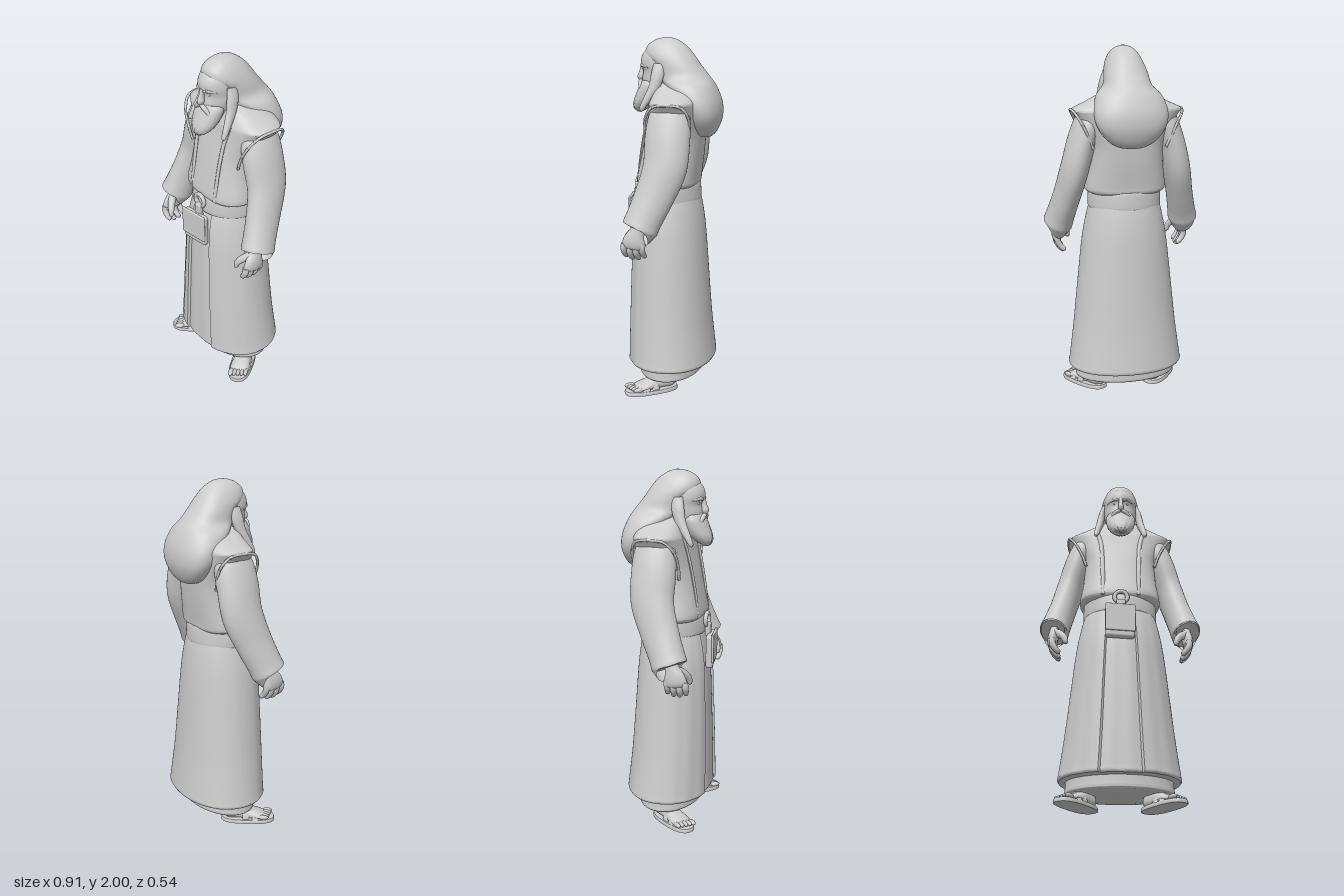
import * as THREE from 'three';
import { toCreasedNormals } from 'three/addons/utils/BufferGeometryUtils.js';
import { RoundedBoxGeometry } from 'three/addons/geometries/RoundedBoxGeometry.js';

const stone = new THREE.MeshStandardMaterial({ color: 0xcccccc });
stone.name = 'pale grey';

// Smooth skin through rings [x, y, z, rSide, rFront, rBack]; radii lie across the path.
function loft(rings, { n = 24, sub = 5, power = 2, flat = false, mod = null, crease = 0.9 } = {}) {
  const centres = new THREE.CatmullRomCurve3(rings.map(r => new THREE.Vector3(r[0], r[1], r[2])), false, 'catmullrom');
  const radii = new THREE.CatmullRomCurve3(rings.map(r => new THREE.Vector3(r[3], r[4] ?? r[3], r[5] ?? r[4] ?? r[3])), false, 'catmullrom');
  const m = (rings.length - 1) * sub, pos = [], idx = [];
  const shape = v => Math.sign(v) * Math.pow(Math.abs(v), 2 / power);
  for (let i = 0; i <= m; i++) {
    const t = i / m, c = centres.getPoint(t), r = radii.getPoint(t);
    const T = flat ? new THREE.Vector3(0, -1, 0) : centres.getTangent(t);
    const u = new THREE.Vector3(1, 0, 0).addScaledVector(T, -T.x).normalize();
    const v = T.clone().cross(u);
    for (let j = 0; j < n; j++) {
      const a = j / n * Math.PI * 2, sv = shape(Math.sin(a));
      const p = c.clone().addScaledVector(u, shape(Math.cos(a)) * Math.max(r.x, 0.001))
        .addScaledVector(v, sv * Math.max(sv > 0 ? r.y : r.z, 0.001));
      if (mod) mod(p, a, t);
      pos.push(p.x, p.y, p.z);
    }
  }
  for (let i = 0; i < m; i++) for (let j = 0; j < n; j++) {
    const a = i * n + j, b = i * n + (j + 1) % n;
    idx.push(a, b, a + n, b, b + n, a + n);
  }
  for (const [i, end] of [[0, false], [m, true]]) {
    const k = pos.length / 3, c = centres.getPoint(i / m);
    pos.push(c.x, c.y, c.z);
    for (let j = 0; j < n; j++) {
      const a = i * n + j, b = i * n + (j + 1) % n;
      idx.push(k, end ? a : b, end ? b : a);
    }
  }
  const g = new THREE.BufferGeometry();
  g.setAttribute('position', new THREE.Float32BufferAttribute(pos, 3));
  g.setIndex(idx);
  return toCreasedNormals(g, crease);
}

// Level body rings [y, halfWidth, zFront, zBack], listed from the top down.
const body = (rows, opt) => loft(rows.map(([y, w, f, b]) => [0, y, (f + b) / 2, w, (f - b) / 2]), { flat: true, n: 64, ...opt });

export function createModel() {
  const model = new THREE.Group();
  const add = (name, geometry, x = 0, y = 0, z = 0) => {
    const mesh = new THREE.Mesh(geometry, stone);
    mesh.name = name;
    mesh.position.set(x, y, z);
    model.add(mesh);
    return mesh;
  };

  // Robe: folded skirt with a recessed centre panel, and an under-robe
  add('skirt', body([
    [1.13, 0.2, 0.188, -0.15], [1.04, 0.222, 0.213, -0.168], [0.9, 0.247, 0.233, -0.185], [0.65, 0.275, 0.243, -0.203],
    [0.4, 0.302, 0.25, -0.222], [0.19, 0.33, 0.254, -0.245], [0.165, 0.335, 0.255, -0.247], [0.15, 0.327, 0.248, -0.24],
  ], {
    n: 160, power: 2.1, mod: (p, a, t) => {
      const front = Math.max(0, Math.sin(a)), fold = 1 + 0.02 * front * t * (1 - t * 0.8) * Math.cos(a * 18);
      p.x *= fold;
      p.z *= fold;
      if (p.z > 0 && Math.abs(Math.cos(a)) < 0.34) p.z -= 0.014;
    },
  }));
  add('underRobe', body([[0.2, 0.29, 0.19, -0.18], [0.12, 0.292, 0.19, -0.178], [0.09, 0.295, 0.19, -0.178], [0.08, 0.285, 0.182, -0.172]]));
  add('belt', body([[1.2, 0.2, 0.185, -0.145], [1.19, 0.208, 0.195, -0.152], [1.11, 0.21, 0.2, -0.157], [1.1, 0.203, 0.19, -0.15]]));

  // Vest with wide shoulders that taper to the armholes
  add('vest', body([
    [1.765, 0.07, 0.08, -0.09], [1.725, 0.175, 0.09, -0.14], [1.695, 0.235, 0.097, -0.16], [1.665, 0.3, 0.105, -0.17],
    [1.652, 0.31, 0.11, -0.174], [1.635, 0.298, 0.114, -0.176], [1.57, 0.258, 0.125, -0.178], [1.47, 0.213, 0.147, -0.175],
    [1.35, 0.213, 0.17, -0.165], [1.23, 0.23, 0.193, -0.15], [1.2, 0.226, 0.19, -0.147], [1.185, 0.2, 0.175, -0.135],
  ], { n: 80, power: 2.7 }));

  // Head, face and hair
  add('head', body([
    [1.955, 0.05, 0.13, -0.02], [1.91, 0.085, 0.174, -0.04], [1.86, 0.095, 0.187, -0.04], [1.815, 0.095, 0.172, -0.04],
    [1.76, 0.09, 0.178, -0.04], [1.69, 0.07, 0.15, -0.04], [1.62, 0.07, 0.1, -0.06],
  ], { n: 40 }));
  add('nose', loft([[0, 1.85, 0.176, 0.012], [0, 1.81, 0.181, 0.013, 0.018], [0, 1.78, 0.187, 0.018, 0.022], [0, 1.762, 0.18, 0.008]], { n: 14 }));
  add('beard', body([
    [1.765, 0.075, 0.178, 0.06], [1.735, 0.087, 0.194, 0.06], [1.69, 0.083, 0.214, 0.075], [1.645, 0.07, 0.23, 0.105],
    [1.61, 0.045, 0.23, 0.145], [1.587, 0.01, 0.208, 0.185],
  ], { n: 48, mod: (p, a, t) => { if (p.z > 0.1) p.z += 0.003 * t * Math.cos(a * 16); } }));
  add('hair', body([
    [2, 0.012, 0.055, 0.02], [1.985, 0.05, 0.105, -0.025], [1.95, 0.083, 0.15, -0.075], [1.9, 0.107, 0.155, -0.118],
    [1.85, 0.12, 0.108, -0.152], [1.79, 0.134, 0.08, -0.2], [1.735, 0.182, 0.035, -0.236], [1.65, 0.205, -0.03, -0.268],
    [1.57, 0.188, -0.08, -0.272], [1.5, 0.135, -0.11, -0.25], [1.465, 0.075, -0.14, -0.223], [1.455, 0.015, -0.17, -0.2],
  ], { n: 64, power: 2.3 }));

  // Buckle and belt pouch
  add('buckle', new THREE.TorusGeometry(0.036, 0.012, 10, 28), 0, 1.172, 0.207);
  add('pouchLoop', new RoundedBoxGeometry(0.05, 0.075, 0.03, 2, 0.01), 0, 1.115, 0.215);
  const pouch = add('pouch', new RoundedBoxGeometry(0.165, 0.19, 0.04, 3, 0.016), -0.007, 1.002, 0.232);
  const flap = add('pouchFlap', new RoundedBoxGeometry(0.17, 0.165, 0.014, 2, 0.006), -0.004, 1.024, 0.252);
  pouch.rotation.y = flap.rotation.y = 0.13;

  for (const s of [1, -1]) {
    const side = s > 0 ? 'left' : 'right';
    const limb = (name, rings, opt) => add(side + name, loft(rings.map(([x, ...rest]) => [x * s, ...rest]), opt));

    // Face details and hanging lock
    limb('Brow', [[0.012, 1.84, 0.18, 0.006], [0.042, 1.849, 0.169, 0.011], [0.078, 1.838, 0.125, 0.006]], { n: 10 });
    limb('Eye', [[0.026, 1.821, 0.165, 0.003], [0.038, 1.822, 0.159, 0.007], [0.054, 1.82, 0.146, 0.003]], { n: 12 });
    limb('Moustache', [[0.004, 1.762, 0.188, 0.01], [0.028, 1.75, 0.186, 0.013], [0.052, 1.722, 0.174, 0.012], [0.062, 1.68, 0.168, 0.004]], { n: 12 });
    limb('HairLock', [
      [0.098, 1.86, 0.06, 0.012, 0.03], [0.111, 1.8, 0.066, 0.019, 0.036], [0.121, 1.73, 0.085, 0.021, 0.03],
      [0.136, 1.66, 0.125, 0.017, 0.02], [0.143, 1.615, 0.15, 0.013], [0.143, 1.602, 0.155, 0.004],
    ], { n: 16 });

    // Vest front edge and armhole edge
    limb('Lapel', [
      [0.135, 1.66, 0.1, 0.012, 0.008], [0.112, 1.55, 0.127, 0.012, 0.008],
      [0.104, 1.38, 0.16, 0.012, 0.008], [0.1, 1.2, 0.184, 0.012, 0.008],
    ], { n: 10 });
    limb('ArmholeTrim', [
      [0.2, 1.43, 0.1, 0.008], [0.225, 1.5, 0.105, 0.008], [0.265, 1.58, 0.095, 0.008], [0.3, 1.643, 0.05, 0.008],
      [0.308, 1.656, -0.03, 0.008], [0.3, 1.643, -0.11, 0.008], [0.258, 1.57, -0.145, 0.008], [0.205, 1.45, -0.13, 0.008],
    ], { n: 8 });

    // Wide sleeve and cuff
    limb('Sleeve', [
      [0.195, 1.645, -0.03, 0.065, 0.085], [0.218, 1.58, -0.028, 0.077, 0.115], [0.256, 1.47, -0.025, 0.079, 0.124],
      [0.295, 1.32, -0.02, 0.078, 0.12], [0.33, 1.17, 0.03, 0.076, 0.108], [0.36, 1.05, 0.08, 0.08, 0.1],
      [0.373, 1.0, 0.1, 0.084, 0.1], [0.375, 0.993, 0.103, 0.076, 0.091],
    ], { n: 36 });

    // Hand with four curled fingers and a thumb
    limb('Palm', [
      [0.36, 1.03, 0.1, 0.03, 0.04], [0.37, 0.98, 0.115, 0.03, 0.042], [0.378, 0.935, 0.13, 0.029, 0.06],
      [0.377, 0.9, 0.136, 0.026, 0.064], [0.37, 0.885, 0.138, 0.012, 0.045],
    ], { n: 20 });
    for (let i = 0; i < 4; i++) {
      const z = 0.085 + i * 0.034, drop = [0.012, 0, 0, 0.012][i];
      limb('Finger', [
        [0.377, 0.915, z, 0.018], [0.378, 0.875 + drop, z + 0.003, 0.018], [0.362, 0.845 + drop, z + 0.002, 0.016],
        [0.342, 0.825 + drop, z - 0.004, 0.013], [0.335, 0.819 + drop, z - 0.006, 0.003],
      ], { n: 12, sub: 4 });
    }
    limb('Thumb', [
      [0.362, 0.975, 0.14, 0.024], [0.335, 0.95, 0.17, 0.022], [0.312, 0.92, 0.19, 0.018],
      [0.304, 0.89, 0.195, 0.013], [0.303, 0.88, 0.195, 0.003],
    ], { n: 12 });

    // Splayed foot in a strapped sandal
    const foot = new THREE.Group();
    foot.name = side + 'Foot';
    foot.position.set(0.23 * s, 0, 0.08);
    foot.rotation.y = 0.62 * s;
    const onFoot = (name, geometry, x = 0, y = 0, z = 0) => {
      const mesh = new THREE.Mesh(geometry, stone);
      mesh.name = name;
      mesh.position.set(x, y, z);
      foot.add(mesh);
      return mesh;
    };
    onFoot('sole', body([[0.022, 0.066, 0.155, -0.155], [0.016, 0.069, 0.158, -0.158], [0, 0.069, 0.158, -0.158]], { n: 40, sub: 2, power: 2.6 }));
    onFoot('footBody', loft([
      [0, 0.035, -0.145, 0.015], [0, 0.045, -0.12, 0.042, 0.06, 0.03], [0, 0.045, -0.06, 0.046, 0.07, 0.03],
      [0, 0.04, 0.0, 0.052, 0.045, 0.025], [0, 0.035, 0.06, 0.058, 0.026, 0.018], [0, 0.03, 0.1, 0.05, 0.012],
    ], { n: 24 }));
    for (let i = 0; i < 5; i++) {
      const toe = onFoot('toe', new THREE.SphereGeometry(1, 12, 8), s * (-0.042 + i * 0.022), 0.033, 0.116 - i * 0.006);
      toe.scale.set(i ? 0.012 : 0.016, 0.014, 0.032);
    }
    for (const [z, w, h] of [[0.045, 0.064, 0.062], [-0.01, 0.058, 0.085]]) {
      onFoot('strap', loft([
        [0, 0.012, z - 0.02, w - 0.004, h - 0.014, 0.004], [0, 0.012, z - 0.014, w, h - 0.008, 0.004],
        [0, 0.012, z + 0.014, w, h - 0.014, 0.004], [0, 0.012, z + 0.02, w - 0.004, h - 0.02, 0.004],
      ], { n: 24, sub: 2 }));
    }
    model.add(foot);
  }
  return model;
}
